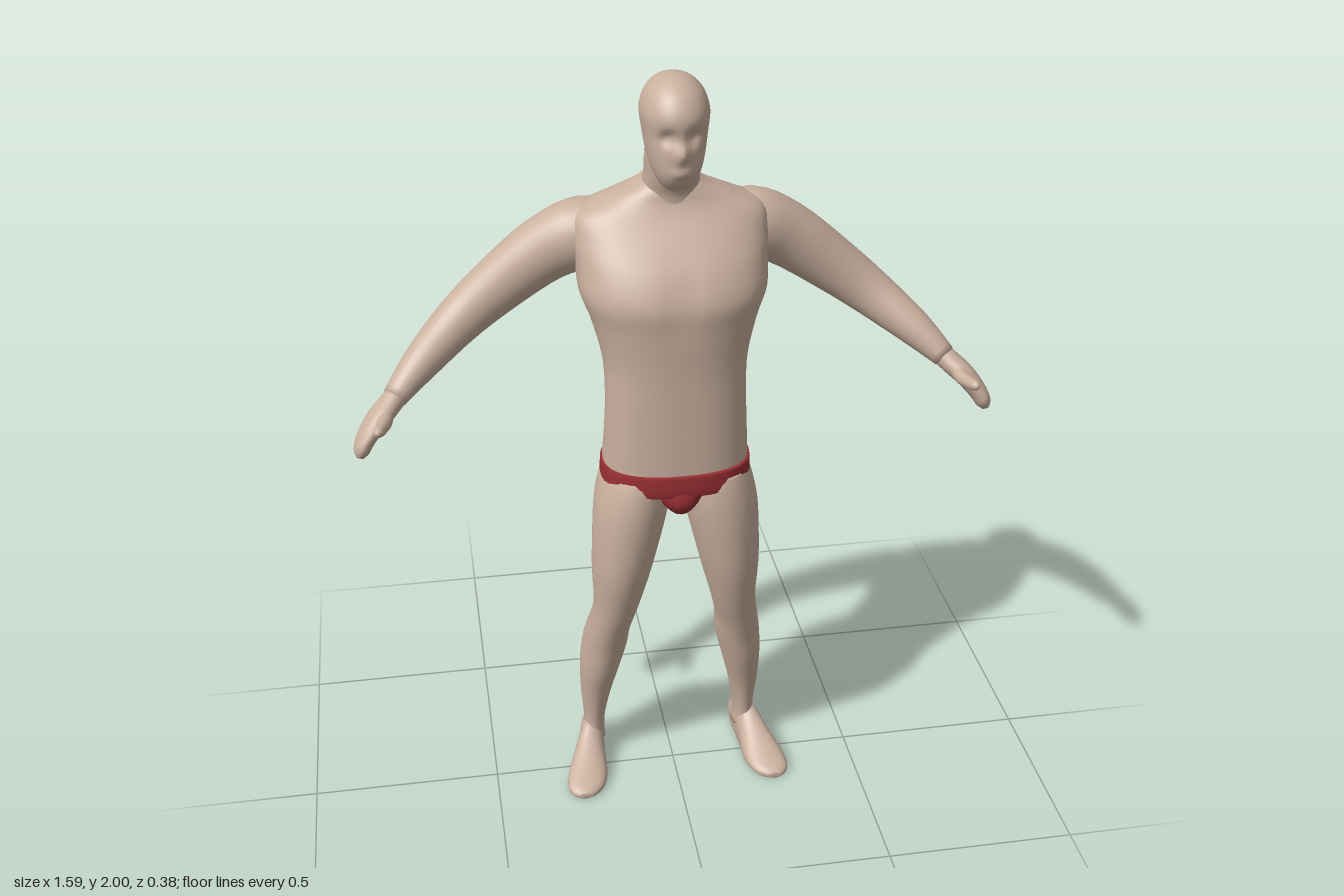
import * as THREE from 'three';

const skin = new THREE.MeshStandardMaterial({ color: 0xc9b09e, roughness: 0.8 });
const red = new THREE.MeshStandardMaterial({ color: 0x982f33, roughness: 0.8 });

// Smoothly resample rows of numbers (Catmull-Rom)
function resample(rows, steps) {
  const out = [];
  const at = i => rows[Math.max(0, Math.min(rows.length - 1, i))];
  for (let i = 0; i < rows.length - 1; i++) {
    for (let k = 0; k < steps; k++) {
      const t = k / steps;
      out.push(rows[i].map((b, c) => {
        const a = at(i - 1)[c], d = at(i + 1)[c], e = at(i + 2)[c];
        return b + 0.5 * t * (d - a + t * (2 * a - 5 * b + 4 * d - e + t * (3 * (b - d) + e - a)));
      }));
    }
  }
  out.push(rows[rows.length - 1].slice());
  return out;
}

// Loft through rows [x, y, z, halfWidth, halfDepth].
// dir: fixed section normal (otherwise the path tangent); depth: reference axis of halfDepth.
function loft(name, rows, { dir, depth = [0, 0, 1], power = 2, sides = 28, steps = 4, material = skin, shape } = {}) {
  const rings = resample(rows, steps), pos = [], index = [];
  const centre = r => new THREE.Vector3(r[0], r[1], r[2]);
  const round = c => Math.sign(c) * Math.pow(Math.abs(c), 2 / power);
  const add = p => { if (shape) shape(p); pos.push(p.x, p.y, p.z); };
  rings.forEach((r, i) => {
    const w = dir ? new THREE.Vector3(...dir)
      : centre(rings[Math.min(i + 1, rings.length - 1)]).sub(centre(rings[Math.max(i - 1, 0)]));
    w.normalize();
    const v = new THREE.Vector3(...depth);
    v.addScaledVector(w, -v.dot(w)).normalize();
    const u = v.clone().cross(w);
    for (let j = 0; j < sides; j++) {
      const a = j / sides * Math.PI * 2;
      add(centre(r).addScaledVector(u, round(Math.cos(a)) * r[3]).addScaledVector(v, round(Math.sin(a)) * r[4]));
    }
  });
  const last = rings.length - 1, start = rings.length * sides;
  add(centre(rings[0]));
  add(centre(rings[last]));
  for (let j = 0; j < sides; j++) {
    const n = (j + 1) % sides;
    for (let i = 0; i < last; i++) {
      const a = i * sides + j, b = i * sides + n;
      index.push(a, b, b + sides, a, b + sides, a + sides);
    }
    index.push(start, n, j, start + 1, last * sides + j, last * sides + n);
  }
  const g = new THREE.BufferGeometry();
  g.setAttribute('position', new THREE.Float32BufferAttribute(pos, 3));
  g.setIndex(index);
  g.computeVertexNormals();
  const mesh = new THREE.Mesh(g, material);
  mesh.name = name;
  return mesh;
}

// Horizontal sections given as [y, front z, back z, halfWidth]
const levels = rows => rows.map(([y, f, b, w]) => [0, y, (f + b) / 2, w, (f - b) / 2]);
const bump = (d, size) => Math.exp(-(d * d) / (size * size));

export function createModel() {
  const model = new THREE.Group();
  model.name = 'figure';
  const up = [0, 1, 0], down = [0, -1, 0];

  // Torso with a groove along the spine
  model.add(loft('torso', levels([
    [0.96, 0.155, -0.095, 0.185], [1.02, 0.155, -0.095, 0.185], [1.1, 0.155, -0.075, 0.18],
    [1.2, 0.155, -0.07, 0.176], [1.3, 0.156, -0.1, 0.18], [1.4, 0.162, -0.145, 0.205],
    [1.47, 0.165, -0.175, 0.23], [1.54, 0.135, -0.192, 0.235], [1.6, 0.09, -0.192, 0.24],
    [1.65, 0.05, -0.17, 0.23], [1.685, 0.03, -0.145, 0.16], [1.715, 0.022, -0.12, 0.095], [1.74, 0.01, -0.1, 0.06],
  ]), {
    dir: up, power: 2.4, sides: 48,
    shape: p => {
      if (p.z < -0.03) p.z += 0.022 * bump(p.x, 0.04) * bump(p.y - 1.42, 0.25);
      if (p.z > 0.08) p.z -= 0.008 * bump(p.x, 0.03) * bump(p.y - 1.48, 0.08);
    },
  }));

  // Neck
  model.add(loft('neck', levels([
    [1.64, 0.035, -0.14, 0.1], [1.7, 0.03, -0.125, 0.078], [1.75, 0.05, -0.095, 0.067],
    [1.8, 0.06, -0.08, 0.066], [1.86, 0.06, -0.075, 0.06],
  ]), { dir: up }));

  // Head with eye hollows, nose and mouth
  model.add(loft('head', levels([
    [1.735, 0.075, 0.035, 0.018], [1.75, 0.1, 0.015, 0.038], [1.78, 0.122, -0.03, 0.056],
    [1.82, 0.128, -0.06, 0.068], [1.87, 0.128, -0.082, 0.076], [1.92, 0.13, -0.09, 0.081],
    [1.96, 0.11, -0.073, 0.069], [1.985, 0.08, -0.045, 0.047], [1.996, 0.055, -0.015, 0.025], [2, 0.03, 0.01, 0.006],
  ]), {
    dir: up, power: 2.1, sides: 48, steps: 6,
    shape: p => {
      if (p.z < 0.05) return;
      p.z -= 0.016 * bump(Math.abs(p.x) - 0.03, 0.018) * bump(p.y - 1.877, 0.018);
      p.z += 0.018 * bump(p.x, 0.014) * bump(p.y - 1.842, 0.022);
      p.z += 0.006 * bump(p.x, 0.025) * bump(p.y - 1.795, 0.012);
    },
  }));

  // Briefs: waistband and the tapering middle piece
  model.add(loft('waistband', levels([
    [0.955, 0.16, -0.104, 0.191], [0.975, 0.162, -0.104, 0.192], [1.015, 0.16, -0.1, 0.19],
  ]), { dir: up, power: 2.4, sides: 48, material: red }));
  model.add(loft('briefs', levels([
    [0.97, 0.16, -0.1, 0.09], [0.945, 0.166, -0.1, 0.075], [0.92, 0.162, -0.085, 0.058],
    [0.895, 0.14, -0.055, 0.035], [0.878, 0.1, -0.01, 0.014],
  ]), { dir: down, power: 2.3, material: red }));

  for (const [side, s] of [['left', 1], ['right', -1]]) {
    const mirror = rows => rows.map(([x, ...rest]) => [x * s, ...rest]);

    // Arm running into a mitten-like hand
    model.add(loft(side + 'Arm', mirror([
      [0.12, 1.58, -0.08, 0.06, 0.06], [0.2, 1.585, -0.085, 0.088, 0.085], [0.3, 1.54, -0.1, 0.082, 0.076],
      [0.42, 1.452, -0.1, 0.071, 0.065], [0.52, 1.375, -0.078, 0.06, 0.058], [0.62, 1.3, -0.01, 0.046, 0.047],
      [0.69, 1.238, 0.045, 0.03, 0.034],
    ])));
    model.add(loft(side + 'Hand', mirror([
      [0.675, 1.252, 0.034, 0.028, 0.03], [0.7, 1.23, 0.055, 0.028, 0.035], [0.735, 1.2, 0.08, 0.027, 0.046],
      [0.765, 1.163, 0.1, 0.023, 0.044], [0.778, 1.137, 0.115, 0.019, 0.034], [0.783, 1.122, 0.123, 0.008, 0.014],
    ]), { sides: 20 }));
    model.add(loft(side + 'Thumb', mirror([
      [0.71, 1.222, 0.07, 0.018, 0.018], [0.716, 1.212, 0.11, 0.019, 0.019], [0.724, 1.212, 0.145, 0.016, 0.016],
      [0.732, 1.217, 0.175, 0.013, 0.013], [0.735, 1.22, 0.187, 0.005, 0.005],
    ]), { sides: 14, depth: up }));

    // Leg
    model.add(loft(side + 'Leg', mirror([
      [0.1, 0.99, 0.03, 0.085, 0.115], [0.106, 0.95, 0.03, 0.094, 0.124], [0.117, 0.88, 0.042, 0.096, 0.116],
      [0.133, 0.77, 0.044, 0.086, 0.108], [0.145, 0.68, 0.04, 0.076, 0.098], [0.158, 0.57, 0.03, 0.06, 0.076],
      [0.175, 0.48, -0.005, 0.058, 0.079], [0.184, 0.41, -0.032, 0.061, 0.083], [0.198, 0.32, -0.047, 0.054, 0.075],
      [0.209, 0.22, -0.062, 0.041, 0.056], [0.214, 0.12, -0.075, 0.029, 0.047], [0.216, 0.05, -0.08, 0.032, 0.052],
    ]), { dir: down }));

    // Foot, turned outwards with a flat sole
    model.add(loft(side + 'Foot', mirror([
      [0.212, 0.035, -0.15, 0.014, 0.025], [0.214, 0.04, -0.138, 0.028, 0.045], [0.218, 0.045, -0.1, 0.033, 0.068],
      [0.226, 0.042, -0.05, 0.036, 0.075], [0.238, 0.03, 0.0, 0.045, 0.055], [0.25, 0.018, 0.06, 0.055, 0.036],
      [0.259, 0.013, 0.105, 0.051, 0.022], [0.264, 0.01, 0.13, 0.036, 0.015], [0.266, 0.008, 0.142, 0.018, 0.008],
    ]), { dir: [0, 0, 1], depth: up, power: 2.2, shape: p => { p.y = Math.max(p.y, 0); } }));
  }
  return model;
}
